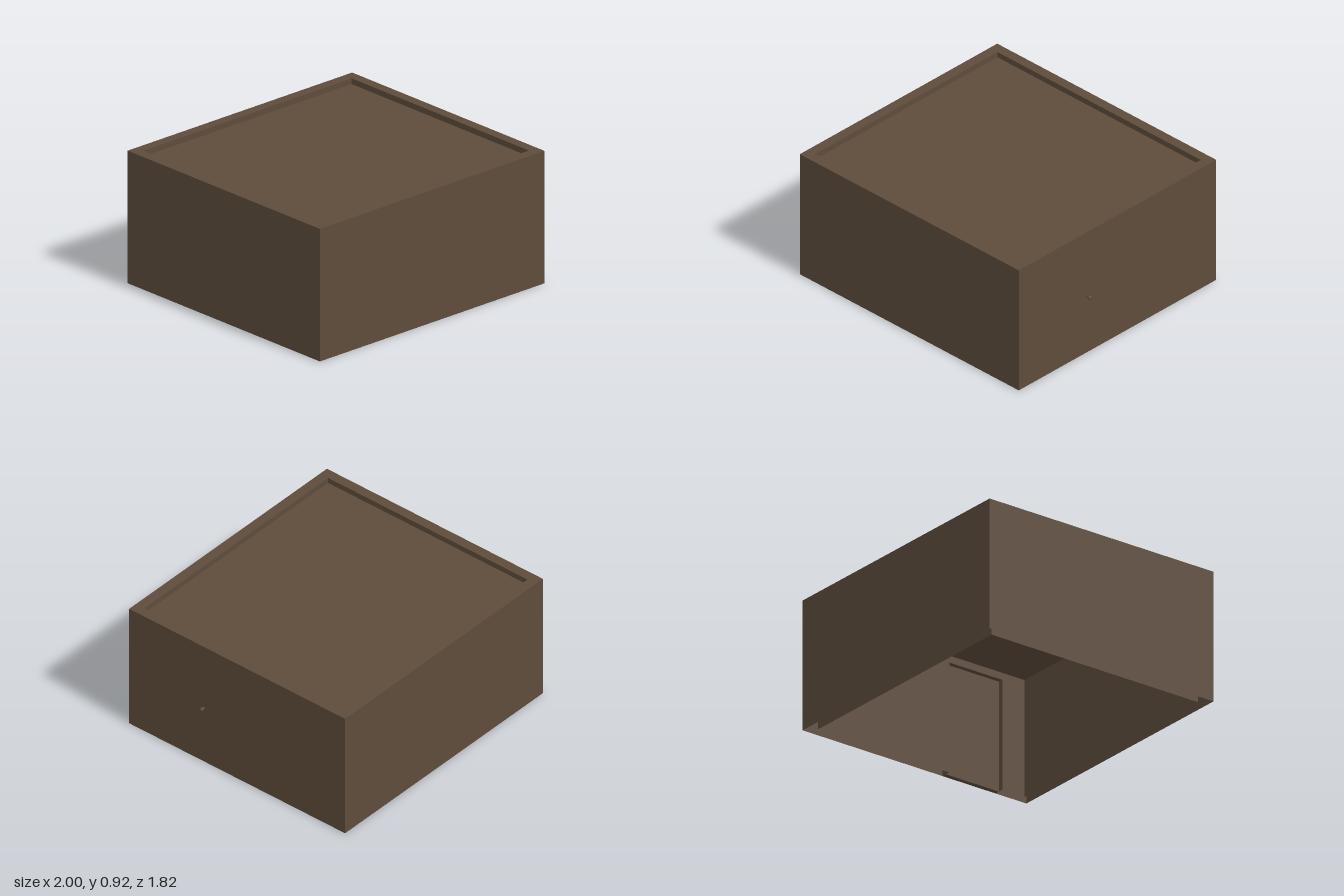
import * as THREE from 'three';

export function createModel() {
  const model = new THREE.Group();
  const brown = new THREE.MeshStandardMaterial({ color: 0x5e4c3b, side: THREE.DoubleSide });
  brown.name = 'dark brown';

  const cx = -0.0175, hx = 0.9825, hz = 0.91, H = 0.92; // outer half sizes and height
  const t = 0.07;                                       // wall thickness
  const roofBottom = 0.83, roofTop = 0.88;
  const door = { z0: 0.23, z1: 0.66, h: 0.78, depth: 0.035 };

  const add = (name, geometry, parent = model) => {
    const mesh = new THREE.Mesh(geometry, brown);
    mesh.name = name;
    parent.add(mesh);
    return mesh;
  };
  const rect = (Type, x0, y0, x1, y1) => {
    const p = new Type();
    p.moveTo(x0, y0); p.lineTo(x1, y0); p.lineTo(x1, y1); p.lineTo(x0, y1); p.closePath();
    return p;
  };

  // Wall skins, open underneath; the right-hand skin has the doorway cut out
  const skins = (name, ax, az, facing) => {
    const group = new THREE.Group();
    group.name = name;
    for (let i = 0; i < 4; i++) {
      const half = i % 2 ? az : ax, out = i % 2 ? ax : az;
      let shape = rect(THREE.Shape, -half, 0, half, H);
      if (i === 1) {
        shape = new THREE.Shape([[-half, 0], [-door.z1, 0], [-door.z1, door.h], [-door.z0, door.h],
          [-door.z0, 0], [half, 0], [half, H], [-half, H]].map(p => new THREE.Vector2(...p)));
      }
      const g = new THREE.ShapeGeometry(shape);
      if (facing < 0) { // turn the faces inward
        const idx = g.index.array;
        for (let k = 0; k < idx.length; k += 3) [idx[k], idx[k + 1]] = [idx[k + 1], idx[k]];
        g.computeVertexNormals();
      }
      g.translate(0, 0, out).rotateY(i * Math.PI / 2).translate(cx, 0, 0);
      add('wall', g, group);
    }
    model.add(group);
  };
  skins('outerWalls', hx, hz, 1);
  skins('innerWalls', hx - t, hz - t, -1);

  // Flat rim on top of the walls
  const rim = rect(THREE.Shape, -hx, -hz, hx, hz);
  rim.holes.push(rect(THREE.Path, -hx + t, -hz + t, hx - t, hz - t));
  add('parapetRim', new THREE.ShapeGeometry(rim).rotateX(-Math.PI / 2).translate(cx, H, 0));

  // Sunken roof slab
  add('roof', new THREE.BoxGeometry(2 * (hx - t), roofTop - roofBottom, 2 * (hz - t)))
    .position.set(cx, (roofTop + roofBottom) / 2, 0);

  // Door with its reveal
  const right = cx + hx, zMid = (door.z0 + door.z1) / 2, width = door.z1 - door.z0;
  add('door', new THREE.BoxGeometry(door.depth, door.h, width))
    .position.set(right - door.depth / 2, door.h / 2, zMid);
  add('doorJambNear', new THREE.PlaneGeometry(t, door.h).rotateY(Math.PI))
    .position.set(right - t / 2, door.h / 2, door.z1);
  add('doorJambFar', new THREE.PlaneGeometry(t, door.h))
    .position.set(right - t / 2, door.h / 2, door.z0);
  add('doorLintel', new THREE.PlaneGeometry(t, width).rotateX(Math.PI / 2))
    .position.set(right - t / 2, door.h, zMid);

  // Door knob
  const profile = [[0.008, 0], [0.008, 0.013], [0.013, 0.018], [0.014, 0.025], [0.011, 0.032], [0, 0.035]];
  add('doorKnob', new THREE.LatheGeometry(profile.map(p => new THREE.Vector2(...p)), 16).rotateZ(-Math.PI / 2))
    .position.set(right, 0.43, 0.28);

  return model;
}
